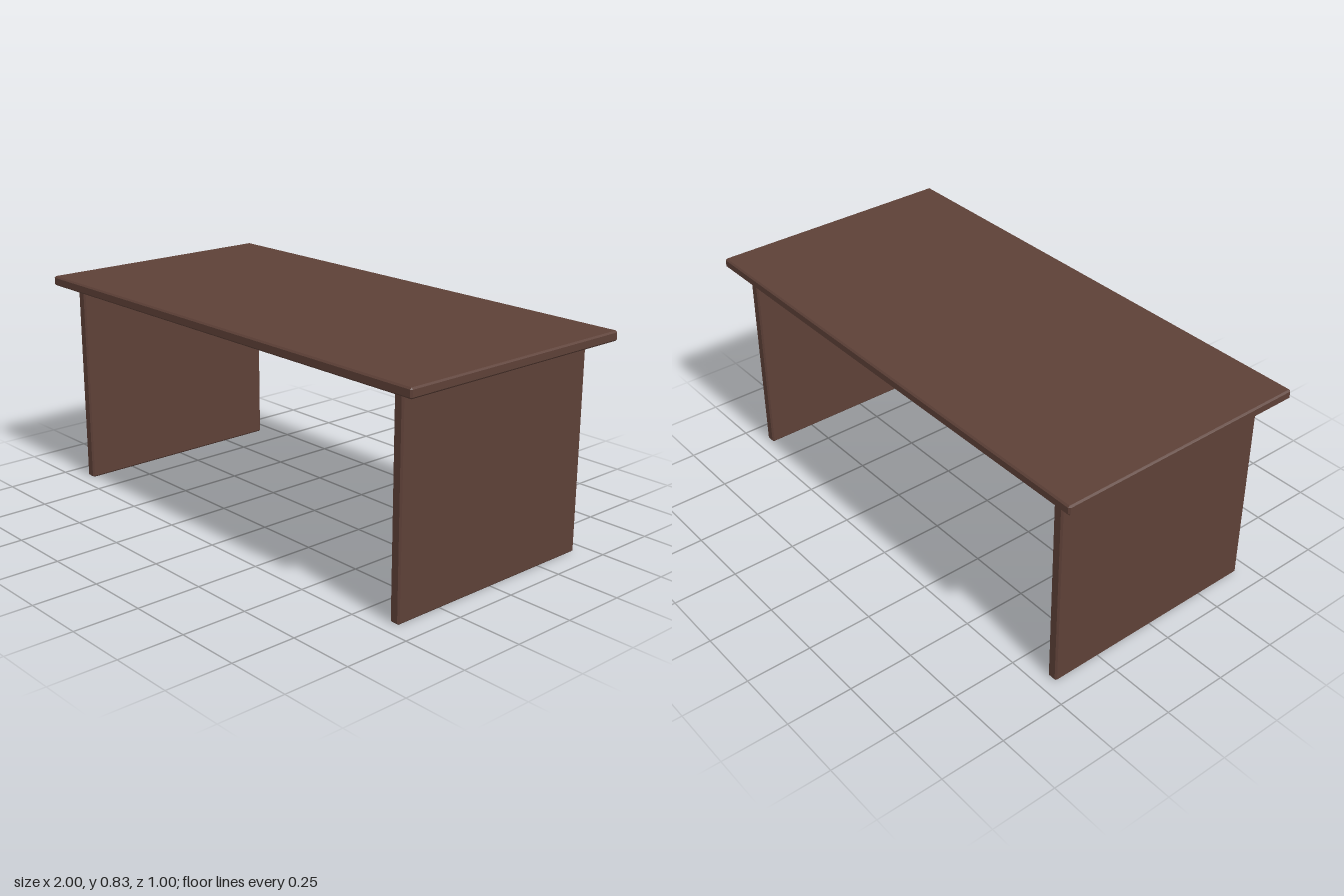
import * as THREE from 'three';
import { ConvexGeometry } from 'three/addons/geometries/ConvexGeometry.js';

// Box with a narrow flat chamfer on every edge, centred on the origin
function chamferedBox(width, height, depth, c) {
  const points = [];
  for (const sx of [-1, 1]) for (const sy of [-1, 1]) for (const sz of [-1, 1]) {
    const x = width / 2, y = height / 2, z = depth / 2;
    points.push(
      new THREE.Vector3(sx * x, sy * (y - c), sz * (z - c)),
      new THREE.Vector3(sx * (x - c), sy * y, sz * (z - c)),
      new THREE.Vector3(sx * (x - c), sy * (y - c), sz * z)
    );
  }
  return new ConvexGeometry(points);
}

export function createModel() {
  const model = new THREE.Group();
  model.name = 'desk';
  const wood = new THREE.MeshStandardMaterial({ color: 0x5d4037 });
  wood.name = 'darkWood';

  const legHeight = 0.797, topThickness = 0.037, chamfer = 0.006;

  // Desktop
  const top = new THREE.Mesh(chamferedBox(2, topThickness, 1, chamfer), wood);
  top.name = 'desktop';
  top.position.y = legHeight + topThickness / 2;
  model.add(top);

  // Side panels that carry the desktop
  const panel = chamferedBox(0.041, legHeight, 0.89, chamfer);
  for (const [name, side] of [['leftPanel', 1], ['rightPanel', -1]]) {
    const leg = new THREE.Mesh(panel, wood);
    leg.name = name;
    leg.position.set(side * 0.89, legHeight / 2, 0);
    model.add(leg);
  }
  return model;
}
